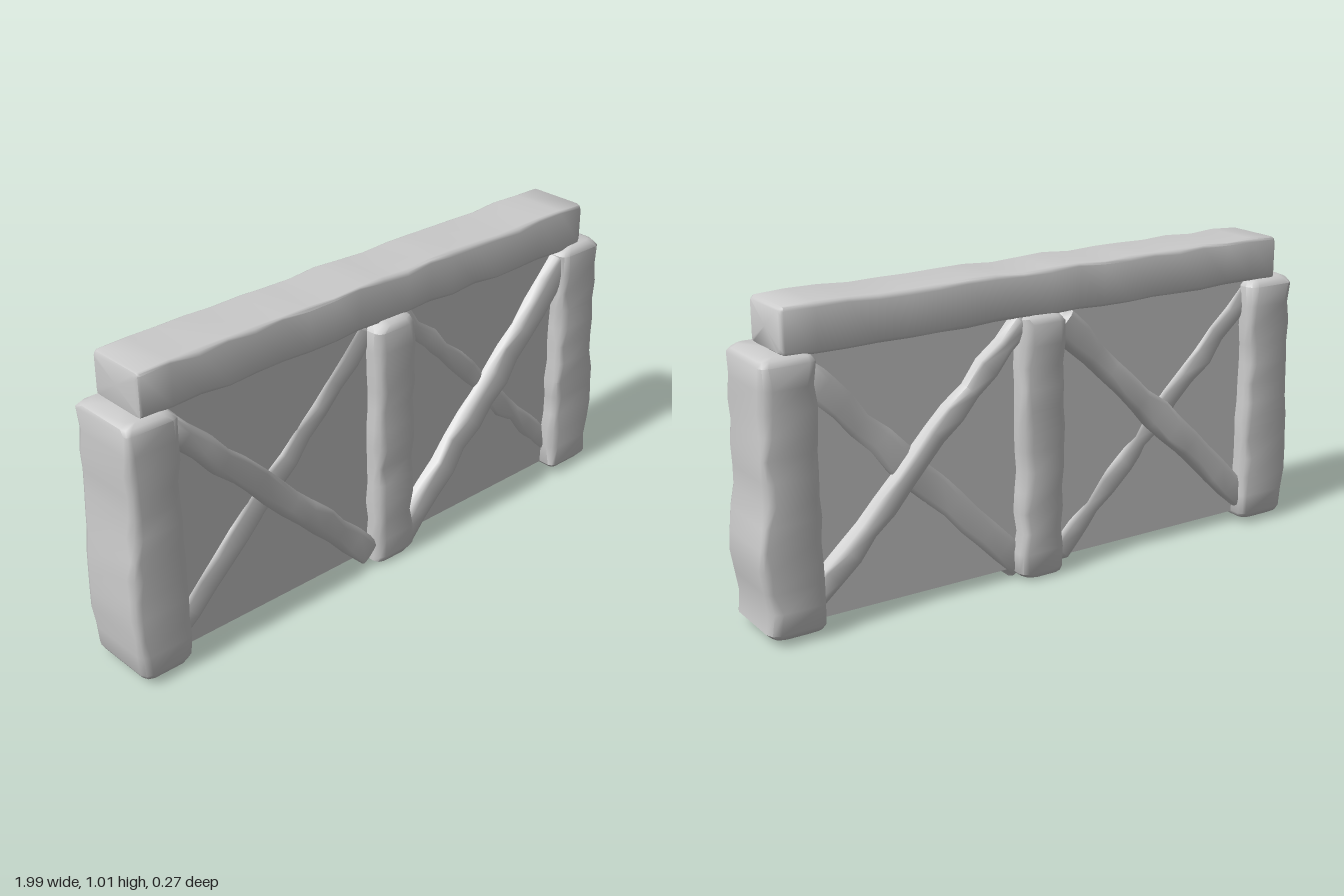
import * as THREE from 'three';
import { toCreasedNormals } from 'three/addons/utils/BufferGeometryUtils.js';

const material = new THREE.MeshStandardMaterial({ color: 0xcccccc });

// small seeded random source in -1..1
function seeded(seed) {
  let s = seed * 7919 + 17;
  return () => {
    s = (s * 16807) % 2147483647;
    return (s / 2147483647) * 2 - 1;
  };
}

// Rough-hewn timber along y: wobbling rounded-rectangle rings with worn ends
function timber({ length, width, depth, bevel, rough, seed, rings = 12, bulge = () => 0 }) {
  const rand = seeded(seed);
  for (let i = 0; i < 5; i++) rand();
  const h = length / 2;
  const levels = [[-h, bevel], [-h + bevel * 0.35, bevel * 0.35]];
  for (let i = 0; i <= rings; i++) levels.push([(h - bevel) * (2 * i / rings - 1), 0]);
  levels.push([h - bevel * 0.35, bevel * 0.35], [h, bevel]);

  const pos = [], index = [], n = 12;
  const signs = [[1, 1], [-1, 1], [-1, -1], [1, -1]];
  for (const [y, inset] of levels) {
    const side = [0, 1, 2, 3].map(() => rand() * rough);
    signs.forEach(([sx, sz], corner) => {
      const b = bevel * (1 + 0.45 * rand());
      const x = sx * (width / 2 - inset + (sx > 0 ? side[0] : side[1]));
      const z = sz * (depth / 2 - inset + (sz > 0 ? side[2] : side[3]) * 0.6);
      for (let k = 0; k < 3; k++) {
        const a = (corner + k / 2) * Math.PI / 2;
        const px = x - sx * b + b * Math.cos(a);
        pos.push(px + bulge(y, sx), y, z - sz * b + b * Math.sin(a));
      }
    });
  }
  for (let i = 0; i < levels.length - 1; i++) {
    for (let j = 0; j < n; j++) {
      const p = i * n + j, q = i * n + (j + 1) % n;
      index.push(p, p + n, q, q, p + n, q + n);
    }
  }
  // end caps
  const base = pos.length / 3, last = (levels.length - 1) * n;
  pos.push(0, -h, 0, 0, h, 0);
  for (let j = 0; j < n; j++) {
    const k = (j + 1) % n;
    index.push(base, j, k, base + 1, last + k, last + j);
  }
  const geo = new THREE.BufferGeometry();
  geo.setAttribute('position', new THREE.Float32BufferAttribute(pos, 3));
  geo.setIndex(index);
  return toCreasedNormals(geo, 0.85);
}

export function createModel() {
  const group = new THREE.Group();
  const add = (name, geometry, x, y, z = 0, angle = 0) => {
    const mesh = new THREE.Mesh(geometry, material);
    mesh.name = name;
    mesh.position.set(x, y, z);
    mesh.rotation.z = angle;
    group.add(mesh);
  };

  // flat infill panel
  add('panel', new THREE.BoxGeometry(1.68, 0.86, 0.14), 0, 0.475);

  // end posts, each with a worn bulge low on its outer face
  for (const s of [-1, 1]) {
    const bulge = (y, side) => side === s ? s * 0.02 * Math.exp(-(((y + 0.16) / 0.1) ** 2)) : 0;
    add(s < 0 ? 'rightPost' : 'leftPost', timber({
      length: 0.855, width: 0.18, depth: 0.255, bevel: 0.025, rough: 0.006, seed: 5 + s, bulge,
    }), s * 0.888, 0.45);
  }

  // middle post, slightly off centre
  add('middlePost', timber({
    length: 0.87, width: 0.16, depth: 0.26, bevel: 0.027, rough: 0.007, seed: 11,
  }), 0.03, 0.443);

  // top rail
  add('topRail', timber({
    length: 1.81, width: 0.145, depth: 0.21, bevel: 0.012, rough: 0.004, seed: 21, rings: 18,
  }), -0.005, 0.942, -0.005, -Math.PI / 2);

  // crossed braces; the first of each pair lies in front, the second behind
  const braces = [
    [-0.84, 0.84, -0.05, 0.05, 0.015, 0.085],
    [-0.84, 0.08, -0.04, 0.85, -0.015, 0.095],
    [0.08, 0.04, 0.84, 0.83, 0.015, 0.1],
    [0.08, 0.865, 0.84, 0.10, -0.015, 0.08],
  ];
  braces.forEach(([x1, y1, x2, y2, z, width], i) => {
    const dx = x2 - x1, dy = y2 - y1;
    add('brace' + (i + 1), timber({
      length: Math.hypot(dx, dy), width, depth: 0.185, bevel: 0.02, rough: 0.008, seed: 31 + i * 4,
    }), (x1 + x2) / 2, (y1 + y2) / 2, z, Math.atan2(dy, dx) - Math.PI / 2);
  });

  return group;
}
